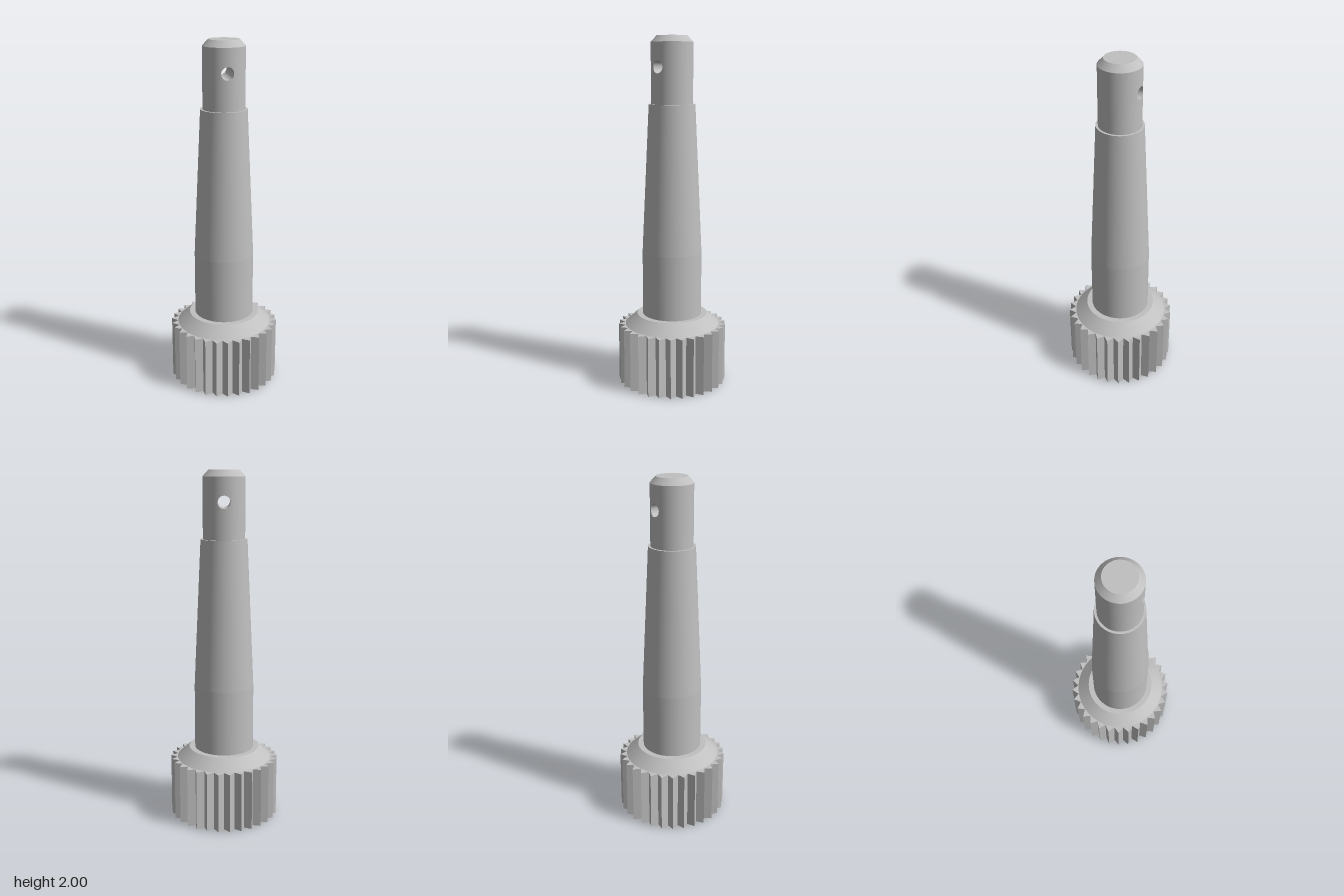
import * as THREE from 'three';

const SEG = 96;

export function createModel() {
  const group = new THREE.Group();
  const steel = new THREE.MeshStandardMaterial({ color: 0xc0c0c0 });
  steel.name = 'steel grey';

  const add = (name, geometry) => {
    const mesh = new THREE.Mesh(geometry, steel);
    mesh.name = name;
    group.add(mesh);
  };
  // Turned section between two heights
  const turned = (name, rBottom, rTop, y0, y1) => {
    const g = new THREE.CylinderGeometry(rTop, rBottom, y1 - y0, SEG);
    g.translate(0, (y0 + y1) / 2, 0);
    add(name, g);
  };

  // Splined head: 30 pointed teeth
  const teeth = 30;
  const outline = new THREE.Shape();
  for (let i = 0; i < teeth * 2; i++) {
    const a = (i * Math.PI) / teeth;
    const r = i % 2 ? 0.277 : 0.314;
    outline[i ? 'lineTo' : 'moveTo'](r * Math.cos(a), r * Math.sin(a));
  }
  outline.closePath();
  const head = new THREE.ExtrudeGeometry(outline, { depth: 0.345, bevelEnabled: false });
  head.rotateX(-Math.PI / 2);
  add('splinedHead', head);

  // Shoulder and shaft
  turned('shoulder', 0.274, 0.204, 0.345, 0.408);
  turned('straightShaft', 0.171, 0.171, 0.408, 0.78);
  turned('taperedShaft', 0.171, 0.131, 0.78, 1.625);

  // Pin end, cross-drilled from front to back
  const R = 0.118, holeR = 0.035, holeY = 1.83, y0 = 1.625, y1 = 1.965;
  add('pinFront', drilledHalf(R, holeR, holeY, y0, y1));
  add('pinBack', drilledHalf(R, holeR, holeY, y0, y1).rotateY(Math.PI));
  add('crossHole', bore(R, holeR, holeY));
  turned('pinChamfer', R, 0.086, y1, 2);

  return group;
}

// Half of a cylinder wall, meshed in rings from the round hole out to its border
function drilledHalf(R, holeR, holeY, y0, y1) {
  const n = SEG / 2, around = n * 4, rings = 16;
  const pos = [], nor = [], idx = [];
  for (let k = 0; k <= rings; k++) {
    for (let j = 0; j <= around; j++) {
      const side = Math.floor(j / n) % 4;
      const f = ((j % n) / n) * 2 - 1;
      // border runs counter-clockwise from the lower right corner
      const [u, v] = [[1, f], [-f, 1], [-1, -f], [f, -1]][side];
      const t = (j / around) * Math.PI * 2 - Math.PI / 4;
      const s = k / rings;
      const th = THREE.MathUtils.lerp(Math.asin((holeR * Math.cos(t)) / R), (u * Math.PI) / 2, s);
      const y = THREE.MathUtils.lerp(holeY + holeR * Math.sin(t), v > 0 ? (y0 + y1) / 2 + v * (y1 - y0) / 2
        : (y0 + y1) / 2 + v * (y1 - y0) / 2, s);
      pos.push(R * Math.sin(th), y, R * Math.cos(th));
      nor.push(Math.sin(th), 0, Math.cos(th));
      if (k < rings && j < around) {
        const a = k * (around + 1) + j, b = a + around + 1;
        idx.push(a, b, b + 1, a, b + 1, a + 1);
      }
    }
  }
  const g = new THREE.BufferGeometry();
  g.setAttribute('position', new THREE.Float32BufferAttribute(pos, 3));
  g.setAttribute('normal', new THREE.Float32BufferAttribute(nor, 3));
  g.setIndex(idx);
  return g;
}

// Inward-facing tube whose ends follow the round wall of the pin
function bore(R, holeR, holeY) {
  const g = new THREE.CylinderGeometry(holeR, holeR, 1, SEG, 1, true);
  g.rotateX(Math.PI / 2);
  g.scale(-1, 1, 1);
  const p = g.attributes.position;
  for (let i = 0; i < p.count; i++) {
    p.setZ(i, Math.sign(p.getZ(i)) * Math.sqrt(R * R - p.getX(i) ** 2));
  }
  g.computeVertexNormals();
  g.translate(0, holeY, 0);
  return g;
}
